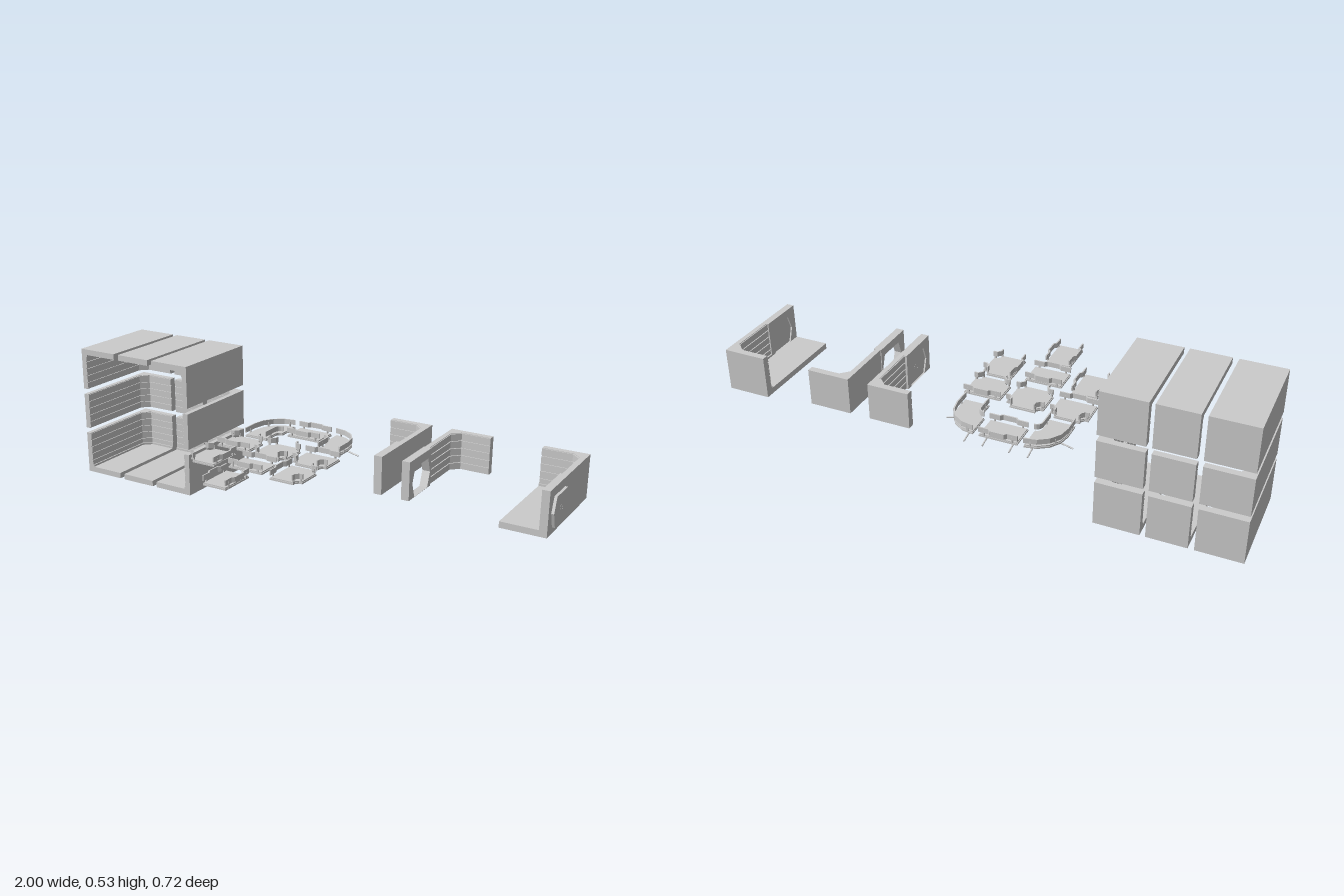
import * as THREE from 'three';

const material = new THREE.MeshStandardMaterial({ color: 0xcccccc, flatShading: true });
const BACK = -0.358, T = 0.023;      // rear plane, wall thickness
const W = 0.049, H = 0.0725;         // walkway half width, half module
const DECK = 0.222, DECK_TOP = 0.232;

function add(group, name, geometry) {
  const mesh = new THREE.Mesh(geometry, material);
  mesh.name = name;
  group.add(mesh);
  return mesh;
}

// box given by its two corners
function box(group, name, x0, x1, y0, y1, z0, z1) {
  const g = new THREE.BoxGeometry(x1 - x0, y1 - y0, z1 - z0);
  return add(group, name, g.translate((x0 + x1) / 2, (y0 + y1) / 2, (z0 + z1) / 2));
}

// plan outline in [x, z], raised from y0 to y1
function slab(group, name, pts, y0, y1) {
  const shape = new THREE.Shape(pts.map(([x, z]) => new THREE.Vector2(x, -z)));
  const g = new THREE.ExtrudeGeometry(shape, { depth: y1 - y0, bevelEnabled: false });
  return add(group, name, g.rotateX(-Math.PI / 2).translate(0, y0, 0));
}

// side outline in [z, y], extruded from x0 to x1
function sidePlate(group, name, pts, x0, x1, hole) {
  const v = (p) => p.map(([z, y]) => new THREE.Vector2(z, y));
  const shape = new THREE.Shape(v(pts));
  if (hole) shape.holes.push(new THREE.Path(v(hole)));
  const g = new THREE.ExtrudeGeometry(shape, { depth: x1 - x0, bevelEnabled: false });
  return add(group, name, g.rotateY(-Math.PI / 2).translate(x1, 0, 0));
}

// straight or L-shaped wall plan with a chamfered inner corner
function wallPlan(x0, x1, side, t, zEnd) {
  const zi = BACK + t + 0.005, c = 0.03;
  if (!side) return [[x0, BACK], [x1, BACK], [x1, zi], [x0, zi]];
  const outer = side < 0 ? x0 : x1, far = side < 0 ? x1 : x0;
  const inner = outer - side * t;
  return [[far, BACK], [outer, BACK], [outer, zEnd], [inner, zEnd],
    [inner, zi + c], [inner - side * c, zi], [far, zi]];
}

// wall module: side -1 / 0 / 1 picks the side wall
function room(name, x0, x1, y0, y1, zFront, { side = 0, floor, roof, sideEnd = zFront }) {
  const g = new THREE.Group();
  g.name = name;
  const lo = floor ? y0 + T : y0, hi = roof ? y1 - T : y1;
  if (floor) box(g, 'floor', x0, x1, y0, lo, BACK, zFront);
  if (roof) box(g, 'roof', x0, x1, hi, y1, BACK, zFront);
  slab(g, 'wall', wallPlan(x0, x1, side, T - 0.004, sideEnd), lo, hi);
  // horizontal cladding courses
  const n = 5, step = (hi - lo) / n;
  for (let i = 0; i < n; i++) {
    slab(g, 'cladding', wallPlan(x0, x1, side, T, sideEnd),
      lo + i * step + 0.002, lo + (i + 1) * step - 0.002);
  }
  if (floor) slab(g, 'skirting', wallPlan(x0, x1, side, T + 0.005, sideEnd), lo, lo + 0.008);
  if (roof) slab(g, 'cornice', wallPlan(x0, x1, side, T + 0.005, sideEnd), hi - 0.008, hi);
  return g;
}

function hexagon(s = 1) {
  return [[0.071, 0], [0.052, 0.055], [-0.052, 0.055], [-0.071, 0], [-0.052, -0.055], [0.052, -0.055]]
    .map(([z, y]) => [-0.048 + z * s, 0.25 + y * s]);
}

// thick wall section with a hexagonal opening
function windowSection(g, x0, x1, y0, y1) {
  sidePlate(g, 'windowFrame', [[-0.125, y0], [0.048, y0], [0.048, y1], [-0.125, y1]], x0, x1, hexagon());
}

// closed hexagonal hatch with a raised rim and two handles
function hatch(g, x0, x1, face) {
  sidePlate(g, 'hatch', hexagon(), x0, x1);
  const fx = face > 0 ? x1 : x0;
  for (const s of [-1, 1]) {
    const h = new THREE.TorusGeometry(0.012, 0.002, 6, 10, Math.PI * 0.7);
    h.rotateZ(-Math.PI * 0.35).rotateY(s > 0 ? -Math.PI / 2 : Math.PI / 2);
    add(g, 'handle', h.translate(fx - face * 0.001, 0.25, -0.048));
  }
}

function rod(group, name, a, b, r) {
  const p = new THREE.Vector3(...a), q = new THREE.Vector3(...b), d = q.clone().sub(p);
  const mesh = add(group, name, new THREE.CylinderGeometry(r, r, d.length(), 6));
  mesh.position.copy(p).add(q).multiplyScalar(0.5);
  mesh.quaternion.setFromUnitVectors(new THREE.Vector3(0, 1, 0), d.normalize());
}

// rail plates along a plan path, with posts at the given segments
function railing(group, path, postSegments) {
  path.slice(1).forEach(([bx, bz], i) => {
    const [ax, az] = path[i], len = Math.hypot(bx - ax, bz - az);
    const m = add(group, 'rail', new THREE.BoxGeometry(len + 0.002, 0.02, 0.005));
    m.position.set((ax + bx) / 2, 0.25, (az + bz) / 2);
    m.rotation.y = -Math.atan2(bz - az, bx - ax);
    if (postSegments.includes(i)) {
      const post = add(group, 'post', new THREE.BoxGeometry(0.006, 0.026, 0.006));
      post.position.set((ax + bx) / 2, 0.237, (az + bz) / 2);
    }
  });
}

function deck(group, pts) {
  slab(group, 'deckFrame', pts, DECK, 0.228);
  const cx = pts.reduce((s, p) => s + p[0], 0) / pts.length;
  const cz = pts.reduce((s, p) => s + p[1], 0) / pts.length;
  slab(group, 'deckTop', pts.map(([x, z]) => [cx + (x - cx) * 0.96, cz + (z - cz) * 0.96]), 0.228, DECK_TOP);
}

// walkway module; arms: 0 = +x, 1 = +z, 2 = -x, 3 = -z
function walkway(name, cx, cz, arms) {
  const g = new THREE.Group();
  g.name = name;
  g.position.set(cx, 0, cz);
  const turn = (k, pts) => pts.map(([x, z]) => [[x, z], [-z, x], [-x, -z], [z, -x]][k]);
  const outline = [], c = 0.01;
  for (let k = 0; k < 4; k++) {
    const open = arms.includes(k), next = arms.includes((k + 1) % 4);
    outline.push(...turn(k, open ? [[H, -W], [H, W]] : [[W, -W], [W, W]]));
    if (open && next) {
      outline.push(...turn(k, [[W + c, W], [W, W + c]]));
      const e = W - 0.003;
      railing(g, turn(k, [[H, e], [W + c, e], [e, W + c], [e, H]]), [0, 2]);
    }
    if (!open) {
      const e = W - 0.002, b = e + 0.009;
      railing(g, turn(k, [[e, -H], [e, -0.035], [b, -0.026], [b, 0.026], [e, 0.035], [e, H]]), [0, 4]);
    }
  }
  deck(g, outline);
  return g;
}

// quarter-turn walkway with wall struts; s = -1 left, 1 right
function curvedWalkway(s) {
  const g = new THREE.Group();
  g.name = s < 0 ? 'curvedWalkwayRight' : 'curvedWalkwayLeft';
  const X = (d) => -0.112 + s * d;
  const arc = (r) => [0, 1, 2, 3, 4].map((i) => {
    const a = (i / 4) * Math.PI / 2;
    return [X(0.096 + r * Math.cos(a)), -0.219 - r * Math.sin(a)];
  });
  const path = (r) => [[X(0.096 + r), -0.152], ...arc(r)];
  deck(g, [...path(0.118), ...path(0.021).reverse()]);
  railing(g, path(0.116), [0, 2, 4]);
  railing(g, path(0.023), [0]);
  rod(g, 'strut', [X(0.15), DECK, -0.245], [X(0.243), 0.2, -0.245], 0.003);
  rod(g, 'strut', [X(0.12), DECK, -0.265], [X(0.12), 0.2, -0.357], 0.003);
  return g;
}

export function createModel() {
  const model = new THREE.Group();
  model.name = 'modularStationKit';

  // three by three block of wall, floor and roof modules
  const cols = [[-1, -0.832, -1], [-0.81, -0.663, 0], [-0.643, -0.475, 1]];
  const rows = [[0, 0.17], [0.192, 0.337], [0.36, 0.527]];
  for (const [x0, x1, side] of cols) {
    rows.forEach(([y0, y1], r) => model.add(
      room('roomModule', x0, x1, y0, y1, 0.025, { side, floor: r === 0, roof: r === 2 })));
  }

  // wall modules with a hatch or window
  const opts = { sideEnd: -0.125 };
  const hatchWall = room('hatchWall', 0.222, 0.383, 0.195, 0.337, 0.048, { side: 1, ...opts });
  windowSection(hatchWall, 0.352, 0.383, 0.195 - 0.001, 0.337);
  hatch(hatchWall, 0.358, 0.383, -1);
  const windowWall = room('windowWall', 0.463, 0.628, 0.195, 0.337, 0.048, { side: -1, ...opts });
  windowSection(windowWall, 0.46, 0.49, 0.195 - 0.001, 0.337);
  const hatchRoom = room('hatchRoom', 0.822, 0.988, 0.172, 0.337, 0.048, { side: 1, floor: true, ...opts });
  windowSection(hatchRoom, 0.96, 0.988, 0.194, 0.337);
  hatch(hatchRoom, 0.966, 0.998, 1);
  model.add(hatchWall, windowWall, hatchRoom);

  // walkway modules
  const mid = -0.112, left = 0.059, right = -0.283;
  const back = walkway('bracedWalkway', mid, -0.288, [0, 2]);
  for (const x of [-0.05, 0.05]) rod(back, 'strut', [x, DECK, 0.02], [x, 0.2, -0.069], 0.003);
  model.add(curvedWalkway(-1), curvedWalkway(1), back,
    walkway('teeWalkway', right, -0.053, [0, 2, 3]),
    walkway('crossWalkway', mid, -0.053, [0, 1, 2, 3]),
    walkway('teeWalkway', left, -0.053, [0, 1, 2]),
    walkway('teeWalkway', right, 0.118, [1, 2, 3]),
    walkway('straightWalkway', mid, 0.118, [0, 2]),
    walkway('teeWalkway', left, 0.118, [0, 1, 3]),
    walkway('straightWalkway', mid, 0.286, [1, 3]));
  return model;
}
